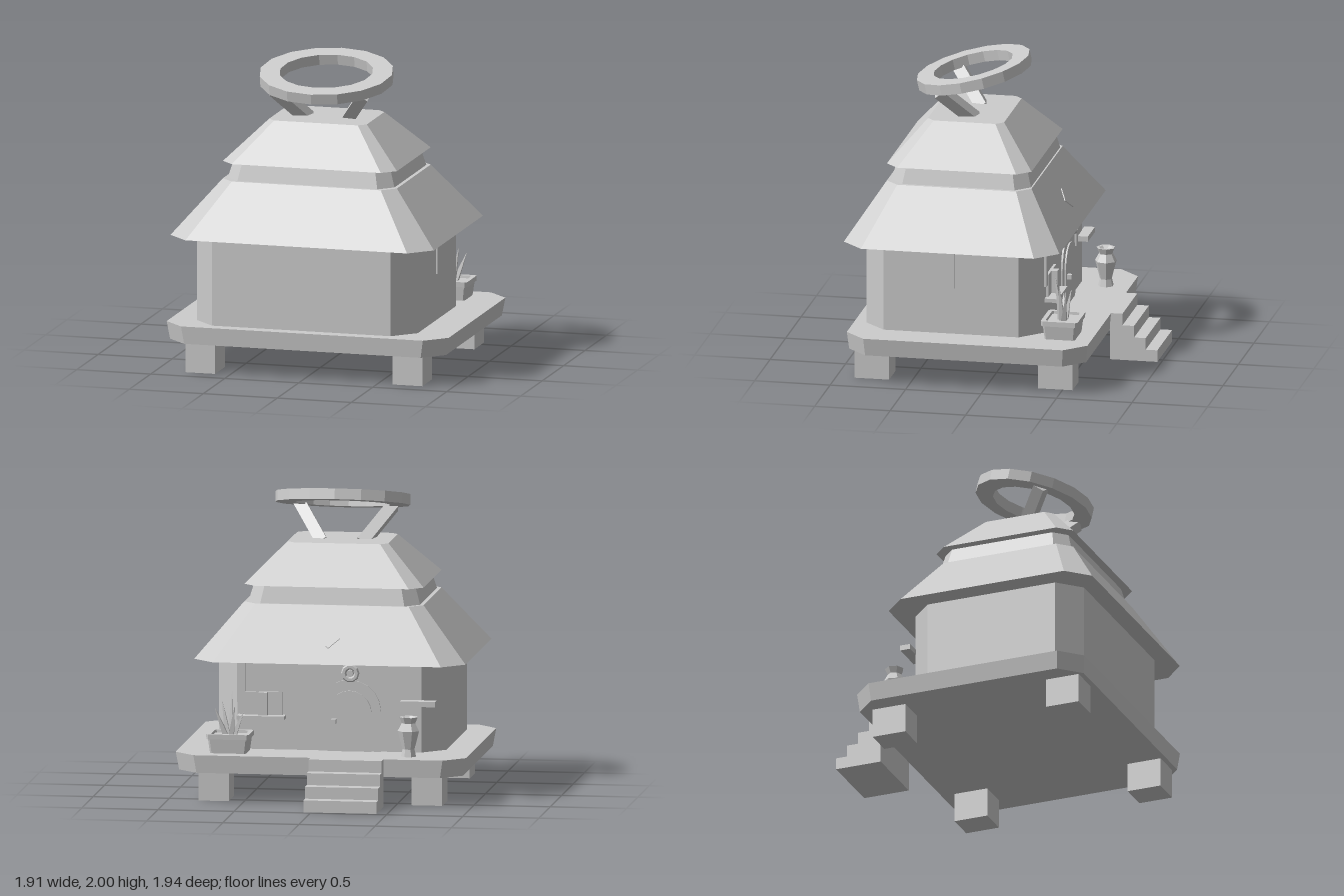
import * as THREE from 'three';

export function createModel() {
  const root = new THREE.Group();
  root.name = 'stiltHut';
  const grey = new THREE.MeshStandardMaterial({ color: 0xcccccc, flatShading: true });
  grey.name = 'plain grey';

  const add = (name, geo, x = 0, y = 0, z = 0, parent = root) => {
    const m = new THREE.Mesh(geo, grey);
    m.name = name;
    m.position.set(x, y, z);
    parent.add(m);
    return m;
  };
  // box given by its min and max corners
  const box = (name, x0, x1, y0, y1, z0, z1) =>
    add(name, new THREE.BoxGeometry(x1 - x0, y1 - y0, z1 - z0), (x0 + x1) / 2, (y0 + y1) / 2, (z0 + z1) / 2);

  // stacked chamfered rectangles: each level is [y, halfX, halfZ, chamfer]
  const stack = (name, cx, cz, levels) => {
    const loops = levels.map(([y, a, b, c]) => [
      [a, y, b - c], [a, y, c - b], [a - c, y, -b], [c - a, y, -b],
      [-a, y, c - b], [-a, y, b - c], [c - a, y, b], [a - c, y, b]]);
    const pos = [];
    const tri = (...p) => p.forEach(v => pos.push(...v));
    for (let l = 0; l + 1 < loops.length; l++) {
      for (let i = 0; i < 8; i++) {
        const j = (i + 1) % 8, lo = loops[l], hi = loops[l + 1];
        tri(lo[i], lo[j], hi[j]);
        tri(lo[i], hi[j], hi[i]);
      }
    }
    const bot = loops[0], top = loops[loops.length - 1];
    for (let i = 1; i < 7; i++) {
      tri(top[0], top[i], top[i + 1]);
      tri(bot[0], bot[i + 1], bot[i]);
    }
    const g = new THREE.BufferGeometry();
    g.setAttribute('position', new THREE.Float32BufferAttribute(pos, 3));
    g.computeVertexNormals();
    return add(name, g, cx, 0, cz);
  };

  // four-sided bar or spike between two points
  const bar = (name, a, b, r0, r1) => {
    const p = new THREE.Vector3(...a), q = new THREE.Vector3(...b);
    const d = q.clone().sub(p);
    const g = new THREE.CylinderGeometry(r1, r0, d.length(), 4).rotateY(Math.PI / 4);
    const m = add(name, g, ...p.clone().add(q).multiplyScalar(0.5).toArray());
    m.quaternion.setFromUnitVectors(new THREE.Vector3(0, 1, 0), d.normalize());
    return m;
  };

  // stilts and platform
  for (const x of [-0.7, 0.7]) {
    box('stilt', x - 0.1, x + 0.1, 0, 0.2, 0.65, 0.88);
    box('stilt', x - 0.1, x + 0.1, 0, 0.2, -0.565, -0.335);
  }
  stack('platform', 0, 0.13, [[0.195, 0.932, 0.785, 0.133], [0.312, 0.953, 0.797, 0.136]]);

  // stairs
  const st = new THREE.Shape();
  st.moveTo(0.66, 0);
  for (let i = 0; i < 4; i++) {
    st.lineTo(0.973 - i * 0.077, i * 0.078);
    st.lineTo(0.973 - i * 0.077, (i + 1) * 0.078);
  }
  st.lineTo(0.66, 0.312);
  add('stairs', new THREE.ExtrudeGeometry(st, { depth: 0.48, bevelEnabled: false }).rotateY(Math.PI / 2), -0.43);

  // walls and tiered roof
  const cx = -0.027, cz = 0.252;
  stack('walls', cx, 0.257, [[0.31, 0.746, 0.59, 0.143], [0.9, 0.746, 0.59, 0.143]]);
  stack('lowerRoof', cx, cz, [[0.893, 0.89, 0.714, 0.141], [1.25, 0.588, 0.479, 0.085]]);
  stack('roofNeck', cx, cz - 0.007, [[1.25, 0.563, 0.462, 0.09], [1.37, 0.528, 0.43, 0.08]]);
  stack('upperRoof', cx, cz, [[1.365, 0.588, 0.479, 0.085], [1.622, 0.33, 0.252, 0.048]]);

  // tilted oval ring on two slanted posts
  const ring = new THREE.Shape().absellipse(0, 0, 0.443, 0.375, 0, Math.PI * 2);
  ring.holes.push(new THREE.Path().absellipse(0, 0, 0.31, 0.263, 0, Math.PI * 2, true));
  const ringGeo = new THREE.ExtrudeGeometry(ring, { depth: 0.07, bevelEnabled: false, curveSegments: 8 });
  ringGeo.translate(0, 0, -0.035).rotateX(-Math.PI / 2 + 0.221);
  add('roofRing', ringGeo, cx, 1.882, 0.255);
  for (const s of [-1, 1])
    bar('ringPost', [cx + s * 0.13, 1.59, 0.225], [cx + s * 0.305, 1.815, 0.425], 0.055, 0.055);

  // diamond tile lying on the rear roof slope
  const tile = add('roofDiamond', new THREE.BoxGeometry(0.103, 0.103, 0.008).rotateZ(Math.PI / 4), cx, 1.052, -0.36);
  tile.rotation.x = Math.atan2(0.235, 0.357);

  // arched door with frame, knob and round ornament
  const arch = (name, half, top, depth) => {
    const s = new THREE.Shape();
    s.moveTo(-half, 0.31);
    s.lineTo(half, 0.31);
    s.lineTo(half, top - half);
    s.absarc(0, top - half, half, 0, Math.PI, false);
    s.lineTo(-half, 0.31);
    const g = new THREE.ExtrudeGeometry(s, { depth, bevelEnabled: false, curveSegments: 5 });
    add(name, g, -0.16, 0, -0.33 - depth);
  };
  arch('doorFrame', 0.205, 0.78, 0.015);
  arch('door', 0.145, 0.71, 0.025);
  add('doorKnob', new THREE.BoxGeometry(0.03, 0.03, 0.04), -0.06, 0.51, -0.365);
  add('ornamentRing', new THREE.TorusGeometry(0.043, 0.018, 6, 10), -0.17, 0.83, -0.385);
  add('ornamentHub', new THREE.CylinderGeometry(0.022, 0.022, 0.07, 8).rotateX(Math.PI / 2), -0.17, 0.83, -0.365);

  // window, sill and small wall shelf
  box('windowFrame', 0.28, 0.53, 0.53, 0.69, -0.35, -0.33);
  box('windowPost', 0.375, 0.435, 0.51, 0.69, -0.39, -0.33);
  box('windowSill', 0.26, 0.57, 0.515, 0.54, -0.42, -0.33);
  box('wallShelf', -0.73, -0.5, 0.62, 0.655, -0.4, -0.33);

  // hanging wall strips
  for (const x of [-0.42, 0.55]) box('wallStrip', x - 0.027, x + 0.027, 0.62, 0.9, -0.347, -0.33);
  box('wallStrip', 0.71, 0.732, 0.62, 0.9, 0.23, 0.285);

  // planter with spiky leaves
  stack('planter', 0.607, -0.463, [[0.31, 0.118, 0.1, 0.012], [0.405, 0.13, 0.11, 0.012],
    [0.405, 0.14, 0.12, 0.014], [0.438, 0.14, 0.122, 0.014], [0.438, 0.112, 0.094, 0.01], [0.42, 0.11, 0.092, 0.01]]);
  const tips = [[0.6, 0.7, -0.41], [0.57, 0.61, -0.51], [0.7, 0.6, -0.5], [0.52, 0.57, -0.45], [0.66, 0.64, -0.45]];
  for (const t of tips) {
    const base = [0.607 + (t[0] - 0.607) * 0.25, 0.41, -0.463 + (t[2] + 0.463) * 0.25];
    bar('leaf', base, t, 0.026, 0.002);
  }

  // faceted vase
  const profile = [[0, 0.31], [0.052, 0.31], [0.04, 0.36], [0.072, 0.48], [0.045, 0.53], [0.062, 0.57], [0.045, 0.57], [0, 0.53]];
  add('vase', new THREE.LatheGeometry(profile.map(p => new THREE.Vector2(...p)), 7), -0.572, 0, -0.505);

  return root;
}
